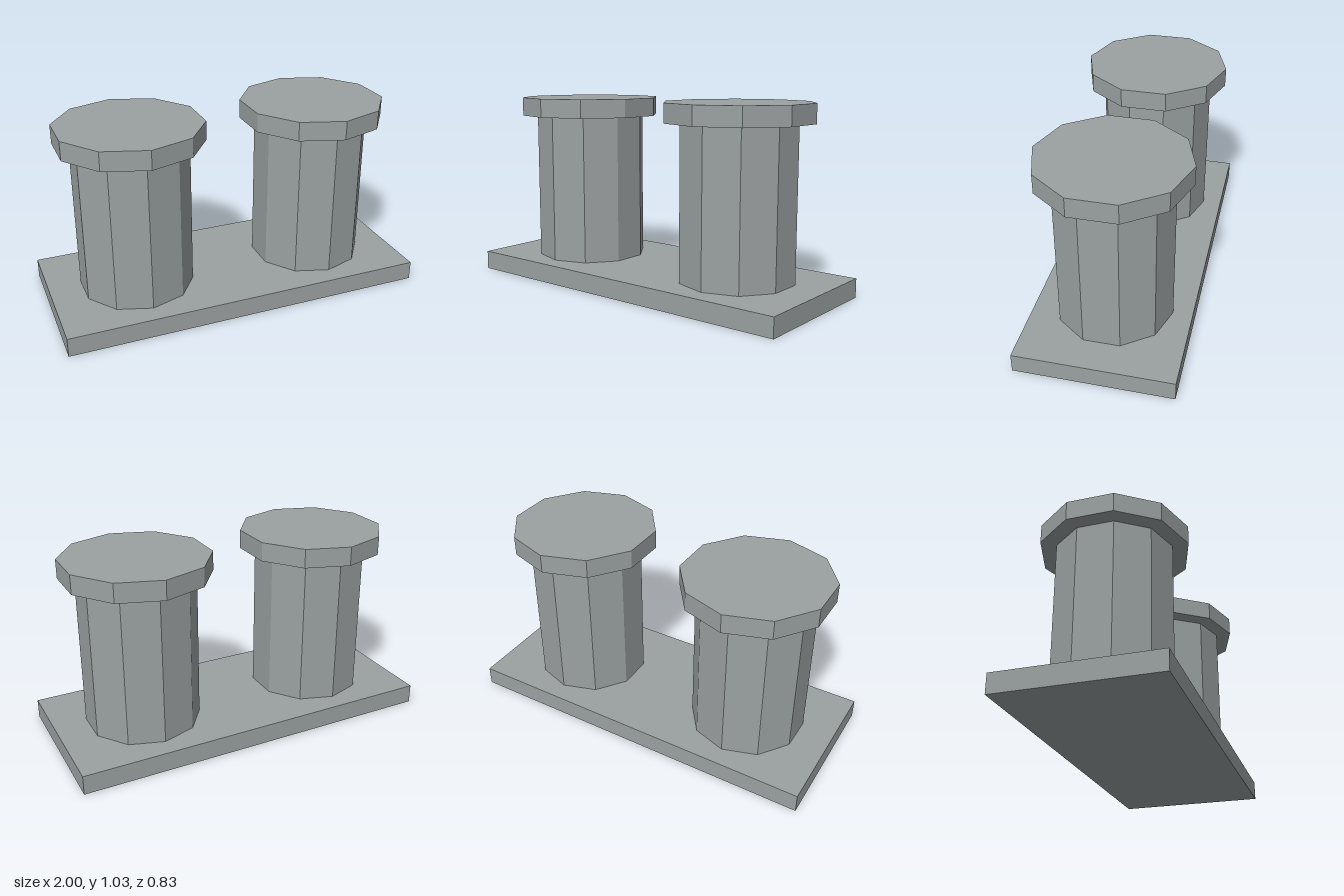
import * as THREE from 'three';

export function createModel() {
  const model = new THREE.Group();
  const material = new THREE.MeshStandardMaterial({ color: 0x9ba1a2, flatShading: true });

  const add = (parent, name, geometry, y) => {
    const mesh = new THREE.Mesh(geometry, material);
    mesh.name = name;
    mesh.position.y = y;
    parent.add(mesh);
  };

  // Rectangular mounting plate
  const baseTop = 0.105;
  add(model, 'basePlate', new THREE.BoxGeometry(2, baseTop, 0.833), baseTop / 2);

  // Two ten-sided posts, each with a wider cap
  const capBottom = 0.928, capTop = 1.031, sides = 10;
  for (const [name, x] of [['leftBollard', 0.52], ['rightBollard', -0.52]]) {
    const bollard = new THREE.Group();
    bollard.name = name;
    bollard.position.x = x;
    const postHeight = capBottom - baseTop, capHeight = capTop - capBottom;
    add(bollard, 'post', new THREE.CylinderGeometry(0.312, 0.312, postHeight, sides, 1, true), baseTop + postHeight / 2);
    add(bollard, 'cap', new THREE.CylinderGeometry(0.396, 0.396, capHeight, sides), capBottom + capHeight / 2);
    model.add(bollard);
  }
  return model;
}
